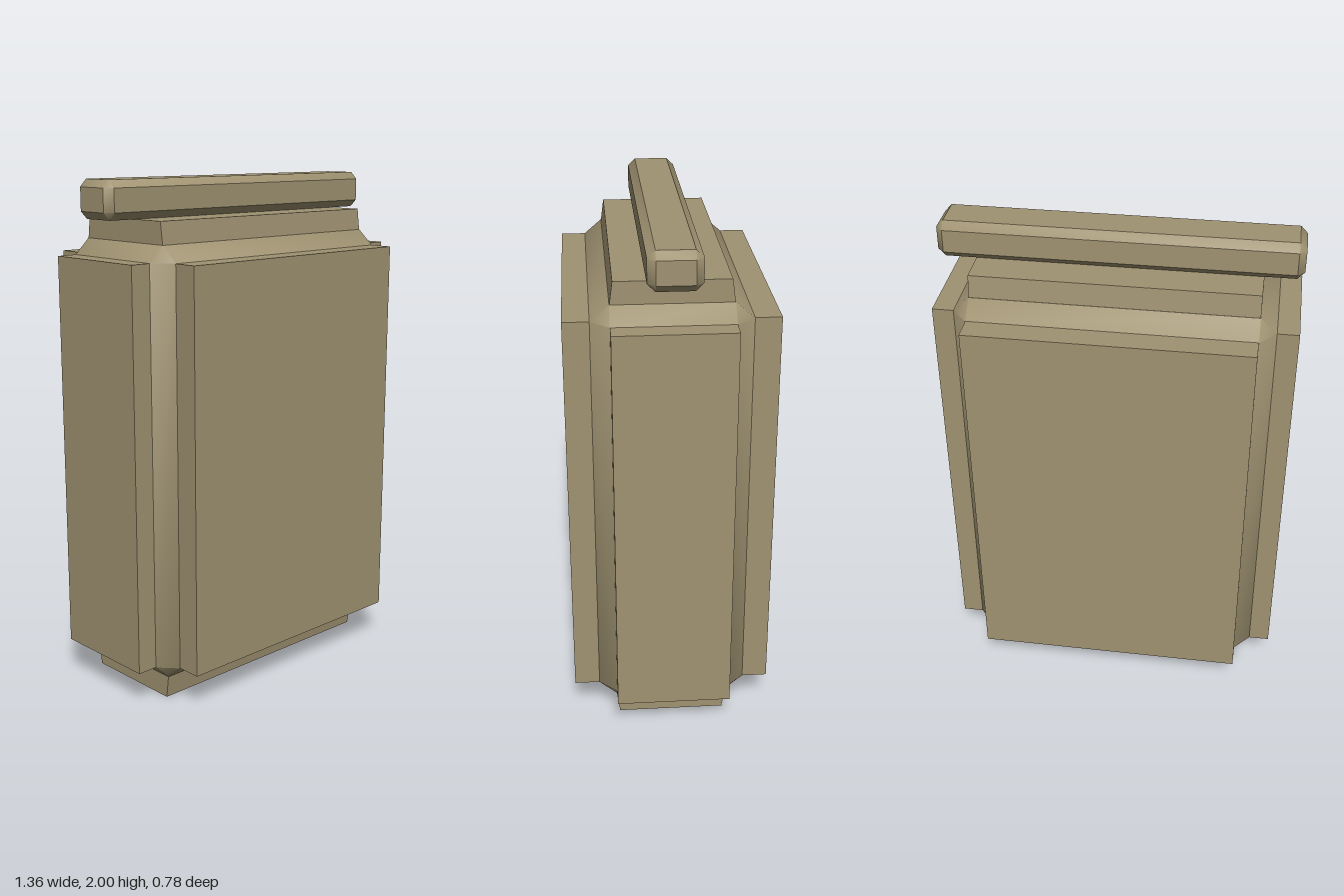
import * as THREE from 'three';
import { toCreasedNormals } from 'three/addons/utils/BufferGeometryUtils.js';
import { ConvexGeometry } from 'three/addons/geometries/ConvexGeometry.js';

// Box with every edge chamfered; outer and inner are half sizes
function chamferedBox(outer, inner) {
  const points = [];
  for (const sx of [-1, 1]) for (const sy of [-1, 1]) for (const sz of [-1, 1]) {
    for (let axis = 0; axis < 3; axis++) {
      const p = inner.map((v, i) => (i === axis ? outer[i] : v));
      points.push(new THREE.Vector3(p[0] * sx, p[1] * sy, p[2] * sz));
    }
  }
  // Bevels blend into the corner facets, the flat sides stay crisp
  return toCreasedNormals(new ConvexGeometry(points), 0.7);
}

export function createModel() {
  const model = new THREE.Group();
  model.name = 'canister';
  const olive = new THREE.MeshStandardMaterial({ color: 0xa09372 });
  olive.name = 'olive tan';

  const add = (name, geometry, y) => {
    const mesh = new THREE.Mesh(geometry, olive);
    mesh.name = name;
    mesh.position.y = y;
    model.add(mesh);
    return mesh;
  };

  // Bevelled body between the raised panels
  add('body', chamferedBox([0.6, 0.84, 0.292], [0.537, 0.78, 0.222]), 0.93);

  // Raised panels on the four sides
  for (const s of [-1, 1]) {
    const broad = add(s > 0 ? 'frontPanel' : 'backPanel', new THREE.BoxGeometry(1.074, 1.56, 0.14), 0.93);
    broad.position.z = s * 0.32;
    const narrow = add(s > 0 ? 'leftPanel' : 'rightPanel', new THREE.BoxGeometry(0.12, 1.56, 0.444), 0.93);
    narrow.position.x = s * 0.622;
  }

  // Top neck and base, slightly tapered away from the body
  for (const s of [-1, 1]) {
    const block = new THREE.BoxGeometry(1.074, 0.09, 0.444);
    const pos = block.attributes.position;
    for (let i = 0; i < pos.count; i++) {
      if (pos.getY(i) * s > 0) pos.setZ(i, Math.sign(pos.getZ(i)) * 0.21);
    }
    block.computeVertexNormals();
    add(s > 0 ? 'neck' : 'base', block, s > 0 ? 1.81 : 0.045);
  }

  // Bevelled bar resting across the neck
  add('handleBar', chamferedBox([0.682, 0.0725, 0.097], [0.655, 0.044, 0.068]), 1.9275);

  return model;
}
